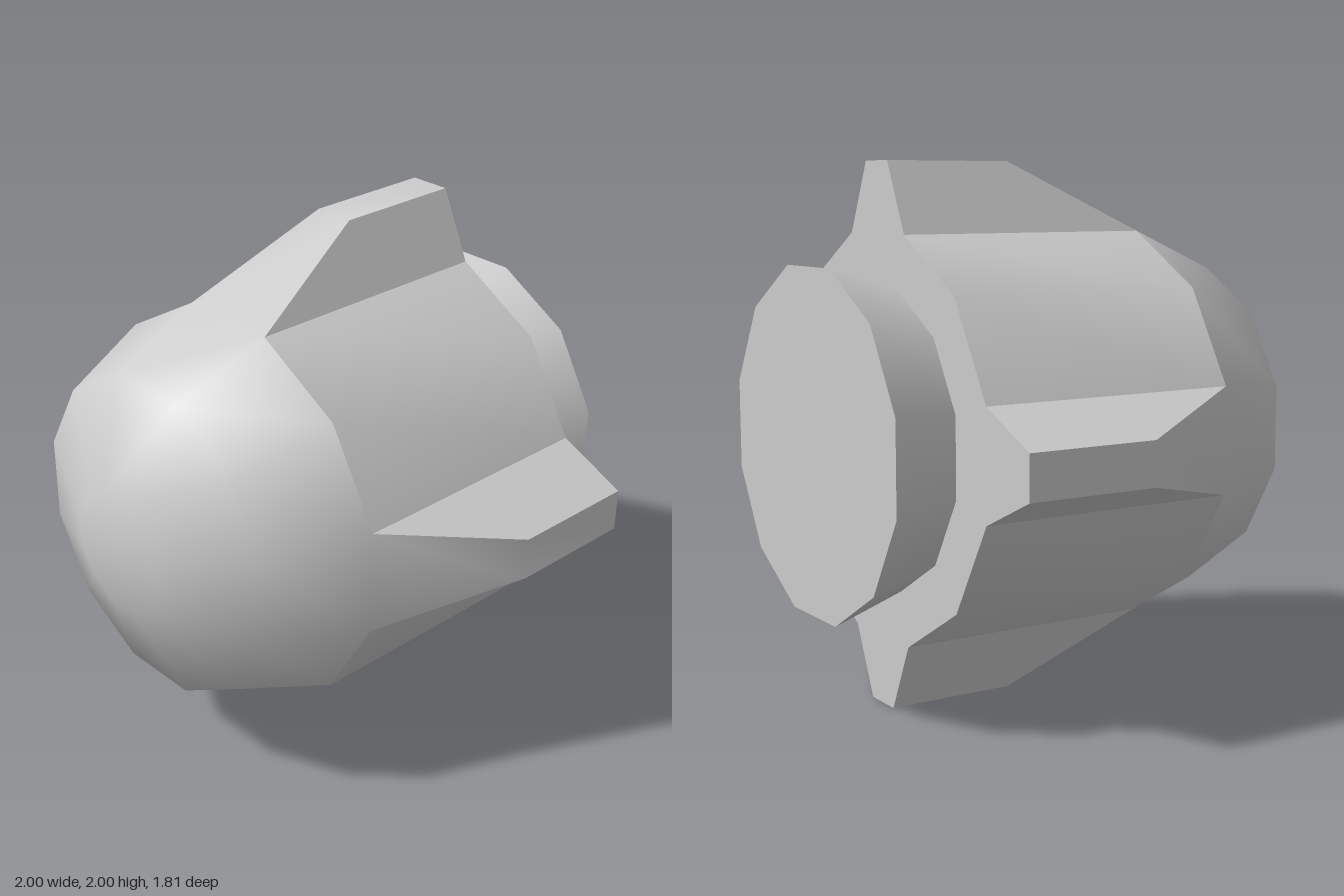
import * as THREE from 'three';

const SIDES = 12, BACK = -0.63, SHOULDER = 0.38, R = 0.767;
const FIN_Z = -0.13, FIN_TIP = 1, FIN_HALF = 0.08;

// point on a ring around the z axis; fins sit between points 3f and 3f + 1
const ring = (i, r, z) => {
  const a = (i * 30 - 15) * Math.PI / 180;
  return [r * Math.cos(a), r * Math.sin(a), z];
};
// outer edge of fin f, side s = -1 or 1
const tip = (f, s, z) => {
  const a = f * Math.PI / 2, c = Math.cos(a), n = Math.sin(a);
  return [FIN_TIP * c - s * FIN_HALF * n, FIN_TIP * n + s * FIN_HALF * c, z];
};

// shared vertices give smooth normals inside one surface
function surface(points, faces) {
  const g = new THREE.BufferGeometry();
  g.setAttribute('position', new THREE.Float32BufferAttribute(points.flat(), 3));
  g.setIndex(faces.flatMap(([a, b, c, d]) => d === undefined ? [a, b, c] : [a, b, c, a, c, d]));
  g.computeVertexNormals();
  return g;
}

export function createModel() {
  const model = new THREE.Group();
  const body = new THREE.Group();
  body.position.y = 1;
  model.add(body);
  const material = new THREE.MeshStandardMaterial({ color: 0xcccccc });
  const add = (name, geometry) => {
    const mesh = new THREE.Mesh(geometry, material);
    mesh.name = name;
    body.add(mesh);
  };

  // rounded nose, running smoothly onto the fin ridges
  const profile = [[R, SHOULDER], [0.611, 0.755], [0.23, 0.905]];
  const points = [], faces = [];
  for (const [r, z] of profile) {
    for (let i = 0; i < SIDES; i++) points.push(ring(i, r, z));
  }
  const centre = points.push([0, 0, 0.905]) - 1;
  for (let i = 0; i < SIDES; i++) {
    const j = (i + 1) % SIDES;
    for (let k = 0; k < 2; k++) {
      const b = k * SIDES;
      faces.push([b + i, b + j, b + SIDES + j, b + SIDES + i]);
    }
    faces.push([centre, 2 * SIDES + i, 2 * SIDES + j]);
  }
  for (let f = 0; f < 4; f++) {
    const n = points.length, i = 3 * f;
    points.push(tip(f, -1, BACK), tip(f, 1, BACK), tip(f, 1, FIN_Z), tip(f, -1, FIN_Z));
    faces.push([n, n + 1, n + 2, n + 3], [n + 3, n + 2, i + 1, i]);
  }
  add('noseAndFinRidges', surface(points, faces));

  const outline = [];
  for (let f = 0; f < 4; f++) {
    // curved hull wall between two fins
    const wall = [];
    for (let k = 1; k <= 3; k++) {
      wall.push(ring(3 * f + k, R, BACK), ring(3 * f + k, R, SHOULDER));
    }
    add('hullWall', surface(wall, [[0, 2, 3, 1], [2, 4, 5, 3]]));

    // flat fin flanks
    for (const s of [-1, 1]) {
      const i = 3 * f + (s > 0 ? 1 : 0);
      const flank = [ring(i, R, BACK), ring(i, R, SHOULDER), tip(f, s, FIN_Z), tip(f, s, BACK)];
      add('finFlank', surface(flank, [s > 0 ? [0, 1, 2, 3] : [3, 2, 1, 0]]));
    }
    outline.push(ring(3 * f, R, BACK), tip(f, -1, BACK), tip(f, 1, BACK),
      ring(3 * f + 1, R, BACK), ring(3 * f + 2, R, BACK));
  }

  // back wall, symmetric so it can simply be turned to face backwards
  const shape = new THREE.Shape(outline.map(([x, y]) => new THREE.Vector2(x, y)));
  add('backWall', new THREE.ShapeGeometry(shape).rotateY(Math.PI).translate(0, 0, BACK));

  // flared, closed rear nozzle
  const nozzle = new THREE.CylinderGeometry(0.652, 0.564, 0.275, SIDES, 1, false, Math.PI / 12);
  add('nozzle', nozzle.rotateX(-Math.PI / 2).translate(0, 0, -0.7675));

  return model;
}
